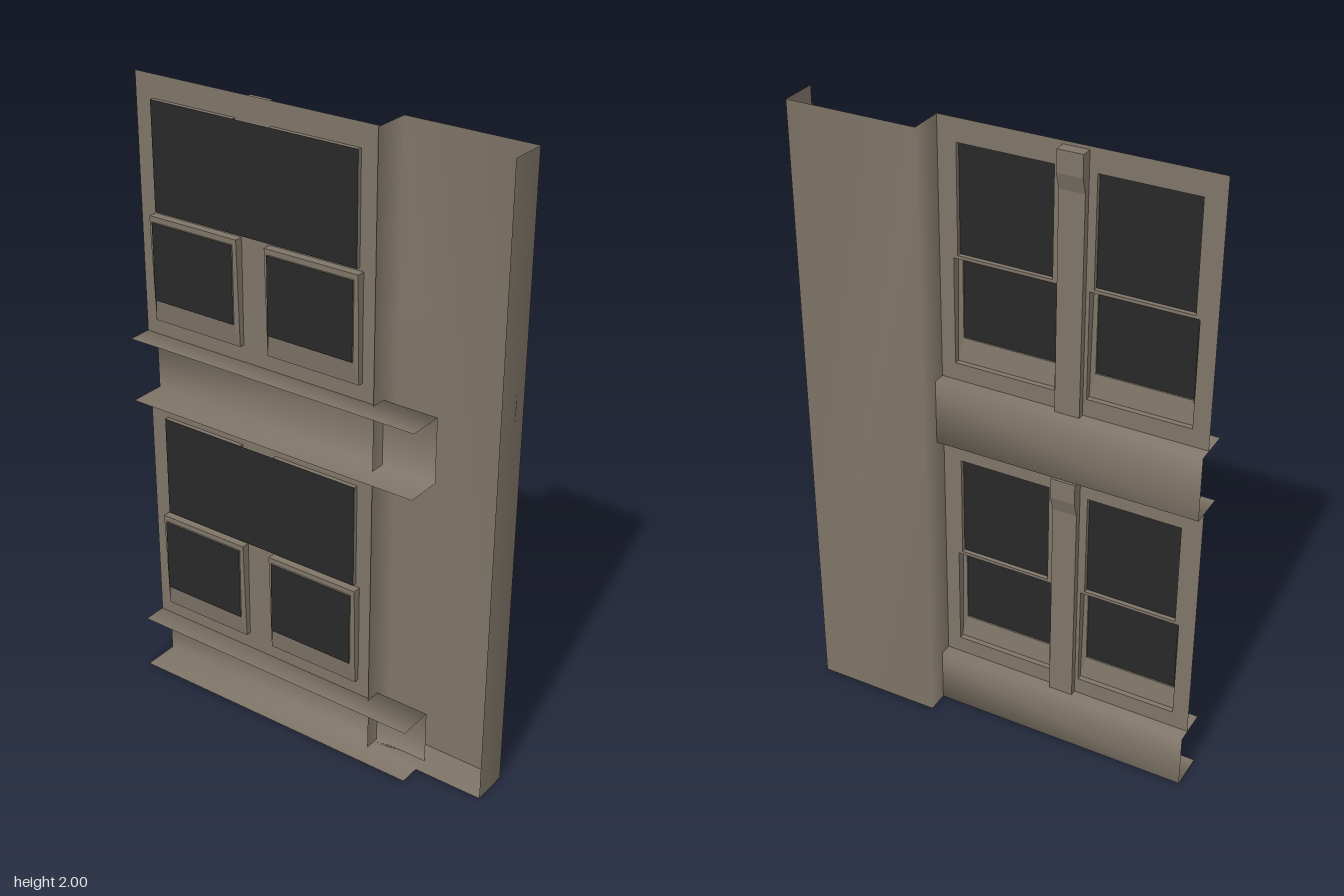
import * as THREE from 'three';

const stone = new THREE.MeshStandardMaterial({ color: 0x7f7568, side: THREE.DoubleSide });
stone.name = 'stone';
const glass = new THREE.MeshStandardMaterial({ color: 0x282828, side: THREE.DoubleSide });
glass.name = 'dark glass';

// Local facade frame: x runs along the wall, y up, z outward.
const WALL = -0.018, STOREY = 1.014;

function add(parent, name, geometry, material) {
  const mesh = new THREE.Mesh(geometry, material);
  mesh.name = name;
  parent.add(mesh);
  return mesh;
}

function build(points, index) {
  const g = new THREE.BufferGeometry();
  g.setAttribute('position', new THREE.Float32BufferAttribute(points.flat(), 3));
  g.setIndex(index);
  return g;
}

// Open sheet: a profile moved along an offset, with softly shared normals
function sweep(profile, offset) {
  const n = profile.length, index = [];
  const far = profile.map(p => p.map((v, k) => v + offset[k]));
  for (let i = 0; i < n - 1; i++) {
    index.push(i, i + 1, n + i + 1, i, n + i + 1, n + i);
  }
  const g = build([...profile, ...far], index);
  g.computeVertexNormals();
  return g;
}

// Recess through nested rectangles [x0, x1, y0, y1, zBottom, zTop]
function recess(rects) {
  const points = [], index = [];
  for (const [x0, x1, y0, y1, zb, zt] of rects) {
    points.push([x0, y0, zb], [x1, y0, zb], [x1, y1, zt], [x0, y1, zt]);
  }
  for (let r = 0; r < rects.length - 1; r++) {
    for (let k = 0; k < 4; k++) {
      const a = r * 4 + k, b = r * 4 + (k + 1) % 4;
      index.push(a, b, b + 4, a, b + 4, a + 4);
    }
  }
  const g = build(points, index).toNonIndexed();
  g.computeVertexNormals();
  return g;
}

function rectPath(Type, x0, x1, y0, y1) {
  return new Type([[x0, y0], [x1, y0], [x1, y1], [x0, y1]].map(p => new THREE.Vector2(...p)));
}

function pane(x0, x1, y0, y1, z) {
  return new THREE.PlaneGeometry(x1 - x0, y1 - y0).translate((x0 + x1) / 2, (y0 + y1) / 2, z);
}

function makeStorey() {
  const storey = new THREE.Group();

  // Hollow ledge band, open at the back and ends
  add(storey, 'ledgeBand', sweep(
    [[-0.395, 0.18, -0.095], [-0.395, 0.18, 0.023], [-0.395, -0.028, 0.023], [-0.395, -0.028, -0.095]],
    [1.018, 0, 0]), stone);

  // Wall sheet with window openings
  const wall = rectPath(THREE.Shape, -0.215, 0.622, 0.18, 0.986);
  for (const x of [-0.17, 0.25]) {
    const x1 = x + 0.32, gx0 = x + 0.013, gx1 = x + 0.308;
    wall.holes.push(rectPath(THREE.Path, x, x1, 0.235, 0.57));
    wall.holes.push(rectPath(THREE.Path, gx0, gx1, 0.58, 0.915));

    add(storey, 'upperSashReveal', recess([
      [gx0, gx1, 0.58, 0.915, WALL, WALL],
      [gx0, gx1, 0.58, 0.915, -0.032, -0.032]]), stone);

    // Lower sash with sloping sill
    add(storey, 'lowerSashFrame', recess([
      [x, x1, 0.235, 0.57, WALL, WALL],
      [x, x1, 0.235, 0.57, -0.035, -0.045],
      [gx0, gx1, 0.307, 0.553, -0.045, -0.045],
      [gx0, gx1, 0.307, 0.553, -0.05, -0.05]]), stone);
    add(storey, 'lowerGlass', pane(gx0, gx1, 0.307, 0.553, -0.05), glass);
  }
  add(storey, 'windowWall', new THREE.ShapeGeometry(wall).translate(0, 0, WALL), stone);
  add(storey, 'upperGlass', pane(-0.157, 0.558, 0.58, 0.915, -0.032), glass);

  // Mullion with projecting bracket head
  const profile = new THREE.Shape([[WALL, 0.18], [0.002, 0.18], [0.002, 0.86], [0.018, 0.91],
    [0.018, 0.976], [WALL, 0.976]].map(p => new THREE.Vector2(...p)));
  add(storey, 'mullion', new THREE.ExtrudeGeometry(profile, { depth: 0.078, bevelEnabled: false })
    .rotateY(-Math.PI / 2).translate(0.239, 0, 0), stone);
  return storey;
}

export function createModel() {
  const model = new THREE.Group();
  model.name = 'facadeSection';
  const facade = new THREE.Group();
  facade.name = 'facade';
  facade.rotation.y = Math.PI / 2;
  model.add(facade);

  for (let i = 0; i < 2; i++) {
    const storey = makeStorey();
    storey.name = i ? 'upperStorey' : 'lowerStorey';
    storey.position.y = i * STOREY;
    facade.add(storey);
  }
  // The lowest band is cut short at the ground
  const base = facade.children[0].getObjectByName('ledgeBand');
  base.scale.y = 0.18 / 0.208;
  base.position.y = 0.18 * (1 - base.scale.y);

  // Hollow pier, open at the back and top
  add(facade, 'pier', sweep(
    [[-0.622, 0, -0.027], [-0.622, 0, 0.092], [-0.215, 0, 0.092], [-0.215, 0, -0.027]],
    [0, 2, 0]), stone);
  const floor = new THREE.PlaneGeometry(0.407, 0.119).rotateX(Math.PI / 2);
  add(facade, 'pierBase', floor.translate(-0.4185, 0, 0.0325), stone);
  return model;
}
